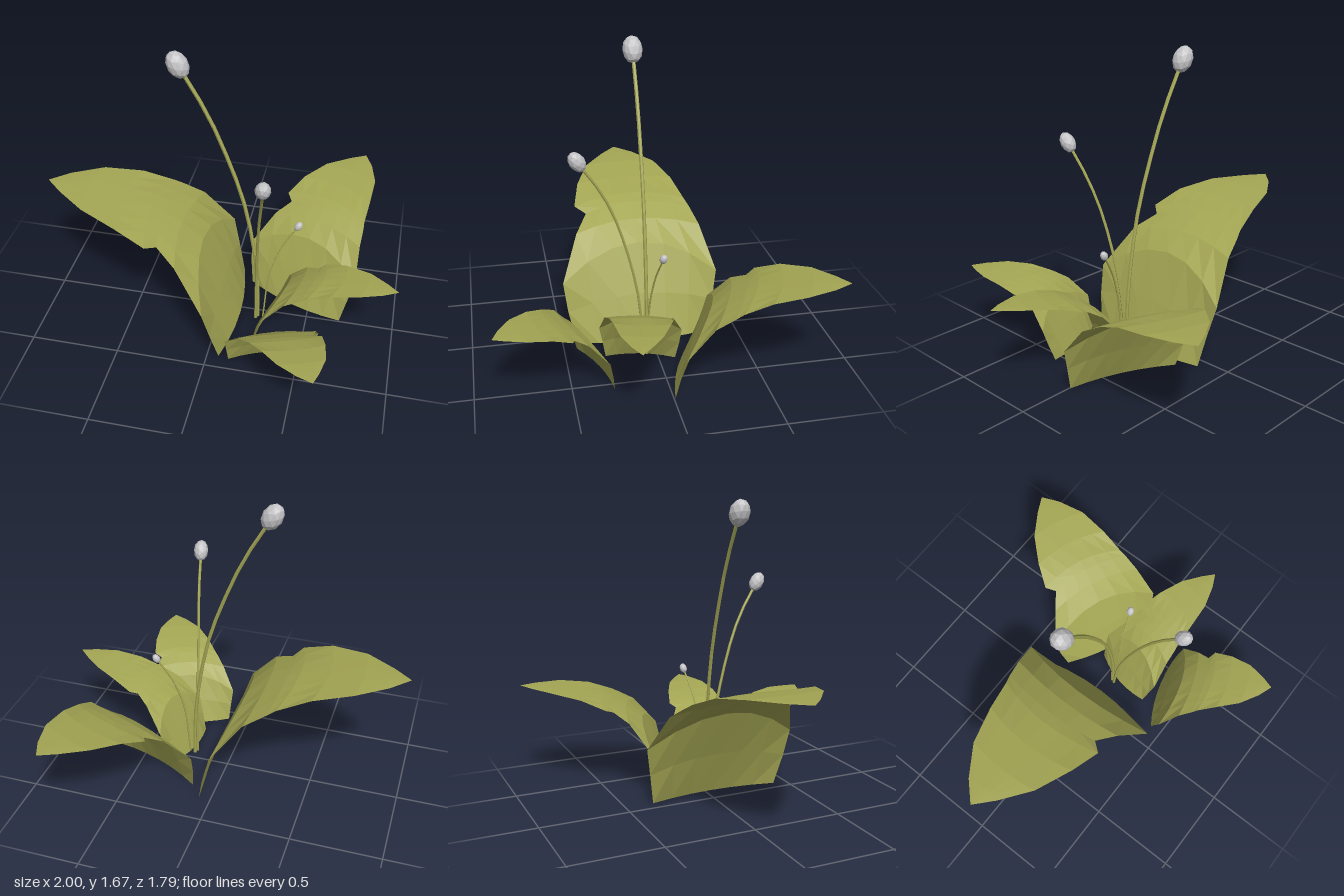
import * as THREE from 'three';

const green = new THREE.MeshStandardMaterial({ color: 0xa3a553, flatShading: true, side: THREE.DoubleSide });
green.name = 'leafGreen';
const pale = new THREE.MeshStandardMaterial({ color: 0xc4c4c6, flatShading: true });
pale.name = 'budGrey';

// Leaf cross-sections: centre out, centre up, edge out, edge up, left width, right width
const LENGTH = 1.115, HEIGHT = 0.78;
const ROWS = [
  [0, 0, 0.05, 0, 0.38, 0.38],
  [0.1, 0.25, 0.09, 0.18, 0.42, 0.41],
  [0.22, 0.515, 0.13, 0.34, 0.44, 0.44],
  [0.34, 0.61, 0.3, 0.56, 0.34, 0.375],
  [0.45, 0.67, 0.415, 0.63, 0.27, 0.34],
  [0.52, 0.7, 0.465, 0.66, 0.33, 0.32],
  [0.68, 0.74, 0.64, 0.73, 0.29, 0.275],
  [0.87, 0.77, 0.85, 0.765, 0.21, 0.21],
  [1.0, 0.778, 1.015, 0.775, 0.09, 0.1],
  [1.115, 0.78, 1.115, 0.78, 0, 0],
];
const COLS = 6;

function leafGeometry() {
  const pos = [], index = [];
  for (const [uc, yc, ue, ye, left, right] of ROWS) {
    for (let c = 0; c <= COLS; c++) {
      const t = (c / COLS) * 2 - 1, s = t * t;
      pos.push(t * (t < 0 ? left : right),
        THREE.MathUtils.lerp(yc, ye, s) / HEIGHT,
        THREE.MathUtils.lerp(uc, ue, s) / LENGTH);
    }
  }
  for (let r = 0; r < ROWS.length - 1; r++) {
    for (let c = 0; c < COLS; c++) {
      const a = r * (COLS + 1) + c, b = a + COLS + 1;
      index.push(a, a + 1, b);
      if (r < ROWS.length - 2) index.push(a + 1, b + 1, b);
    }
  }
  const g = new THREE.BufferGeometry();
  g.setAttribute('position', new THREE.Float32BufferAttribute(pos, 3));
  g.setIndex(index);
  return g;
}

// Leaf placed by its base centre, sideways vector, outward vector (x, z) and height
function makeLeaf(name, [bx, bz], [sx, sz], [ox, oz], height) {
  const m = new THREE.Matrix4().makeBasis(
    new THREE.Vector3(sx, 0, sz), new THREE.Vector3(0, height, 0), new THREE.Vector3(ox, 0, oz));
  m.setPosition(bx, 0, bz);
  const g = leafGeometry().applyMatrix4(m);
  g.computeVertexNormals();
  const mesh = new THREE.Mesh(g, green);
  mesh.name = name;
  return mesh;
}

// Curved stalk with an oval bud at its end
function makeStalk(name, points, radius, budLength, budRadius) {
  const group = new THREE.Group();
  group.name = name;
  const curve = new THREE.CatmullRomCurve3(points.map(p => new THREE.Vector3(...p)));
  const stem = new THREE.Mesh(new THREE.TubeGeometry(curve, 10, radius, 6), green);
  stem.name = 'stem';
  const bud = new THREE.Mesh(new THREE.IcosahedronGeometry(1, 1), pale);
  bud.name = 'bud';
  const dir = curve.getTangent(1);
  bud.scale.set(budRadius, budLength, budRadius);
  bud.quaternion.setFromUnitVectors(new THREE.Vector3(0, 1, 0), dir);
  bud.position.copy(curve.getPoint(1)).addScaledVector(dir, budLength * 0.85);
  group.add(stem, bud);
  return group;
}

export function createModel() {
  const model = new THREE.Group();
  model.name = 'buddingPlant';
  model.add(
    makeLeaf('largeLeaf', [0.115, 0.04], [0, -1], [-1.115, -0.01], 0.78),
    makeLeaf('backLeaf', [0.398, -0.087], [0.733, 0.307], [0.322, -0.813], 0.585),
    makeLeaf('sideLeaf', [0.238, 0.091], [-0.114, 0.489], [0.762, 0.129], 0.48),
    // The sideways vector points to the leaf's right when looking outward
    makeLeaf('frontLeaf', [0.32, 0.33], [-0.557, 0.193], [0.315, 0.56], 0.42),
    makeStalk('tallStalk', [[0.22, 0, 0.05], [0.21, 0.31, 0.05], [0.13, 0.79, 0.047],
      [0, 1.165, 0.043], [-0.085, 1.355, 0.041], [-0.19, 1.54, 0.04]], 0.0105, 0.077, 0.055),
    makeStalk('middleStalk', [[0.21, 0, 0.07], [0.213, 0.35, 0.095], [0.235, 0.77, 0.2],
      [0.26, 0.98, 0.29], [0.28, 1.125, 0.385]], 0.008, 0.06, 0.041),
    makeStalk('smallStalk', [[0.25, 0, 0.055], [0.28, 0.33, 0.045], [0.34, 0.52, 0.025],
      [0.41, 0.64, 0.005]], 0.005, 0.029, 0.021),
  );
  return model;
}
